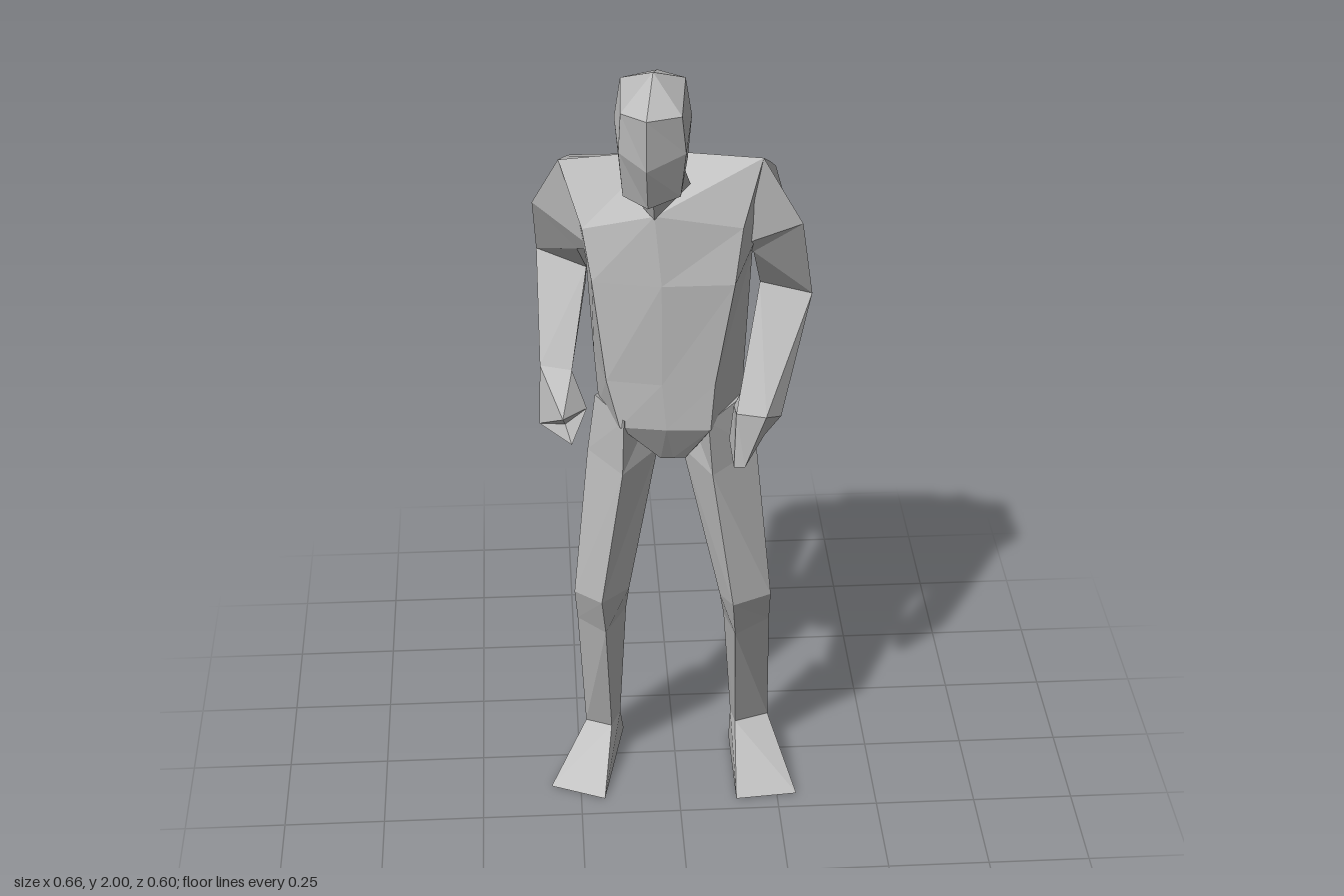
import * as THREE from 'three';

const grey = new THREE.MeshStandardMaterial({ color: 0xb8b8b8, flatShading: true });
grey.name = 'plain grey';

// Skin a list of cross-sections (a one-point ring makes a tip) and close both ends.
function loft(name, sections) {
  const n = Math.max(...sections.map(r => r.length));
  const rings = sections.map(r => (r.length === 1 ? Array(n).fill(r[0]) : r).map(p => new THREE.Vector3(...p)));
  const tris = [];
  const add = (a, b, c) => {
    if (new THREE.Triangle(a, b, c).getArea() > 1e-7) tris.push([a, b, c]);
  };
  const middle = ring => ring.reduce((s, p) => s.add(p), new THREE.Vector3()).divideScalar(n);
  const first = rings[0], last = rings[rings.length - 1];
  const m0 = middle(first), m1 = middle(last);
  for (let j = 0; j < n; j++) {
    const k = (j + 1) % n;
    for (let i = 0; i < rings.length - 1; i++) {
      const a = rings[i], b = rings[i + 1];
      add(a[j], b[j], b[k]);
      add(a[j], b[k], a[k]);
    }
    add(m0, first[j], first[k]);
    add(m1, last[k], last[j]);
  }
  // Turn the faces outward whichever way the rings run.
  let volume = 0;
  for (const [a, b, c] of tris) {
    volume += a.clone().sub(m0).dot(b.clone().sub(m0).cross(c.clone().sub(m0)));
  }
  const pts = tris.flatMap(([a, b, c]) => (volume < 0 ? [a, c, b] : [a, b, c]));
  const geometry = new THREE.BufferGeometry().setFromPoints(pts);
  geometry.computeVertexNormals();
  const mesh = new THREE.Mesh(geometry, grey);
  mesh.name = name;
  return mesh;
}

export function createModel() {
  const model = new THREE.Group();
  model.name = 'standingFigure';

  // Torso: front left, centre, right, right side, back right, centre, left, left side
  model.add(loft('torso', [
    [[.2, 1.725, .063], [-.035, 1.735, .03], [-.27, 1.70, -.01], [-.255, 1.68, -.07],
      [-.24, 1.655, -.135], [0, 1.66, -.12], [.24, 1.65, -.055], [.22, 1.69, .005]],
    [[.15, 1.58, .13], [-.055, 1.62, .14], [-.22, 1.56, .07], [-.23, 1.56, -.03],
      [-.215, 1.56, -.135], [0, 1.56, -.122], [.21, 1.55, -.07], [.21, 1.56, .03]],
    [[.13, 1.45, .16], [-.04, 1.45, .16], [-.2, 1.44, .105], [-.21, 1.45, 0],
      [-.195, 1.44, -.13], [0, 1.45, -.122], [.17, 1.45, -.085], [.18, 1.47, .03]],
    [[.085, 1.19, .165], [-.04, 1.19, .16], [-.17, 1.19, .13], [-.195, 1.2, .01],
      [-.15, 1.2, -.118], [0, 1.19, -.12], [.11, 1.2, -.105], [.165, 1.19, .03]],
    [[.075, 1.07, .17], [-.03, 1.07, .165], [-.14, 1.07, .145], [-.185, 1.07, .02],
      [-.115, 1.03, -.11], [-.01, 1.03, -.115], [.085, 1.03, -.11], [.16, 1.07, .03]],
    [[.02, .955, .1], [-.01, .955, .1], [-.04, .955, .1], [-.05, .955, .02],
      [-.045, .955, -.06], [-.01, .955, -.07], [.02, .955, -.06], [.03, .955, .02]],
  ]));

  // Neck leaning forward into the head
  model.add(loft('neck', [
    [[-.055, 1.61, .14], [.03, 1.68, .095], [-.035, 1.75, .025], [-.125, 1.68, .085]],
    [[-.065, 1.75, .22], [.01, 1.76, .18], [-.045, 1.86, .11], [-.12, 1.76, .17]],
  ]));

  // Head: crown, brow, cheek and jaw
  model.add(loft('head', [
    [[-.06, 2, .2]],
    [[-.08, 1.925, .3], [0, 1.925, .275], [.015, 1.965, .15], [-.045, 1.96, .09], [-.13, 1.96, .13], [-.135, 1.925, .25]],
    [[-.08, 1.8, .29], [.01, 1.83, .26], [.03, 1.87, .14], [-.045, 1.87, .08], [-.145, 1.87, .14], [-.14, 1.83, .245]],
    [[-.075, 1.69, .245], [0, 1.71, .225], [.02, 1.77, .15], [-.045, 1.81, .1], [-.13, 1.77, .14], [-.13, 1.71, .215]],
  ]));

  // Arms: shoulder, deltoid, elbow, wrist, fingers
  model.add(loft('leftArm', [
    [[.2, 1.725, .063], [.24, 1.65, -.055], [.17, 1.5, -.06], [.14, 1.52, .1]],
    [[.295, 1.555, .063], [.28, 1.5, -.085], [.205, 1.48, -.07], [.18, 1.485, .06]],
    [[.33, 1.33, -.02], [.315, 1.33, -.11], [.275, 1.24, -.097], [.205, 1.36, -.03]],
    [[.2, 1.14, .24], [.24, 1.115, .19], [.13, 1.13, .16], [.13, 1.15, .235]],
    [[.15, 1.015, .255], [.2, 1.07, .2], [.12, 1.04, .16], [.125, 1.01, .245]],
  ]));
  model.add(loft('rightArm', [
    [[-.27, 1.70, -.01], [-.24, 1.655, -.135], [-.17, 1.5, -.12], [-.19, 1.5, .06]],
    [[-.333, 1.555, -.09], [-.215, 1.565, -.17], [-.2, 1.46, -.12], [-.23, 1.46, -.03]],
    [[-.325, 1.36, -.24], [-.25, 1.36, -.3], [-.205, 1.27, -.24], [-.205, 1.34, -.17]],
    [[-.325, 1.22, .1], [-.32, 1.14, .07], [-.26, 1.14, .07], [-.25, 1.21, .11]],
    [[-.275, 1.12, .187], [-.33, 1.08, .13], [-.255, 1.05, .185], [-.217, 1.12, .135]],
  ]));

  // Legs (hip, thigh, knee, calf, ankle): front, outer, back outer, back inner, inside
  const leftLeg = [
    [[.07, 1.09, .168], [.17, 1.1, .05], [.095, 1.05, -.112], [.06, 1.03, -.115], [.03, 1.05, .04]],
    [[.08, .95, .18], [.195, .955, .065], [.125, .955, -.085], [.08, .95, -.09], [.015, .955, .05]],
    [[.13, .6, .218], [.228, .585, .15], [.168, .585, .045], [.148, .585, .055], [.102, .59, .15]],
    [[.14, .48, .168], [.23, .48, .1], [.175, .48, -.053], [.16, .48, -.053], [.118, .48, .07]],
    [[.155, .105, .02], [.242, .105, -.01], [.21, .1, -.07], [.17, .1, -.073], [.147, .1, -.04]],
  ];
  const rightLeg = [
    [[-.13, 1.09, .15], [-.195, 1.1, .035], [-.13, 1.05, -.112], [-.08, 1.03, -.115], [-.06, 1.05, .04]],
    [[-.135, .95, .165], [-.215, .955, .045], [-.16, .955, -.08], [-.1, .95, -.09], [-.045, .955, .05]],
    [[-.19, .6, .19], [-.255, .585, .11], [-.205, .585, .035], [-.15, .585, .03], [-.12, .59, .11]],
    [[-.18, .48, .142], [-.248, .48, .07], [-.205, .48, -.03], [-.155, .48, -.06], [-.125, .48, .03]],
    [[-.165, .105, .02], [-.23, .105, -.01], [-.205, .1, -.1], [-.16, .1, -.11], [-.14, .1, -.05]],
  ];
  const leftSole = [[.145, 0, .21], [.3, 0, .196], [.23, 0, -.075], [.175, 0, -.077], [.145, 0, -.06]];
  const rightSole = [[-.19, 0, .19], [-.325, 0, .13], [-.212, 0, -.122], [-.17, 0, -.13], [-.13, 0, -.11]];
  model.add(loft('leftLeg', leftLeg), loft('rightLeg', rightLeg));
  model.add(loft('leftFoot', [leftLeg[4], leftSole]), loft('rightFoot', [rightLeg[4], rightSole]));

  return model;
}
